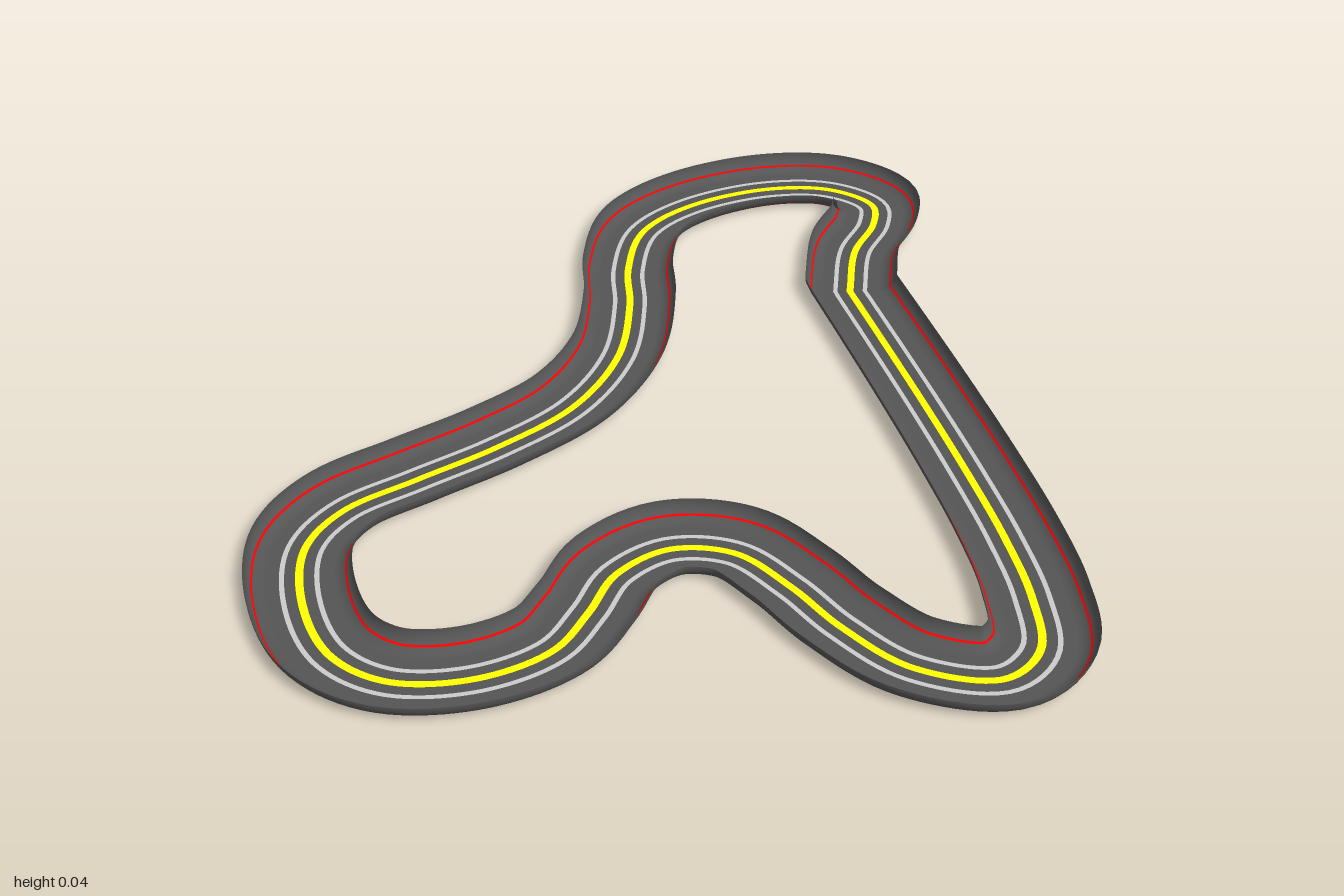
import * as THREE from 'three';

// Centre line of the circuit (x, z); it starts and ends at the kink
const PATH = [
  [0.595, -0.405], [0.598, -0.2], [0.6, 0.05], [0.598, 0.3], [0.59, 0.52], [0.57, 0.7], [0.525, 0.84],
  [0.43, 0.893], [0.28, 0.82], [0.19, 0.68], [0.135, 0.545], [0.06, 0.42], [-0.06, 0.375],
  [-0.18, 0.42], [-0.26, 0.515], [-0.35, 0.6], [-0.505, 0.635], [-0.66, 0.6], [-0.75, 0.505],
  [-0.78, 0.345], [-0.75, 0.18], [-0.66, 0.085], [-0.5, 0.025], [-0.315, -0.04], [-0.13, -0.135],
  [0.01, -0.29], [0.09, -0.485], [0.125, -0.63], [0.205, -0.785], [0.345, -0.868], [0.55, -0.895],
  [0.7, -0.852], [0.777, -0.755], [0.75, -0.67], [0.665, -0.565], [0.595, -0.405],
];
const STEPS = 360;
const FLAT = 0.064, WALL_W = 0.041, WALL_H = 0.04;

// Points along the path with their sideways direction, mitred at the kink
function makeStations() {
  const curve = new THREE.CatmullRomCurve3(PATH.map(([x, z]) => new THREE.Vector3(x, 0, z)));
  const kink = curve.getTangentAt(0).add(curve.getTangentAt(1)).normalize();
  const stations = [];
  for (let i = 0; i <= STEPS; i++) {
    const t = i === 0 || i === STEPS ? kink : curve.getTangentAt(i / STEPS);
    stations.push({ p: curve.getPointAt(i / STEPS), side: new THREE.Vector3(-t.z, 0, t.x) });
  }
  return stations;
}

// Cross-section point [offset, height, sideways normal, upward normal]
const flat = (x) => [x, 0, 0, 1];
const wall = (sign, a) => [
  sign * (FLAT + WALL_W * Math.sin(a)), WALL_H * (1 - Math.cos(a)), -sign * Math.sin(a), Math.cos(a),
];
function wallArc(sign, a0, a1, n) {
  const pts = [];
  for (let i = 0; i <= n; i++) pts.push(wall(sign, a0 + ((a1 - a0) * i) / n));
  return sign > 0 ? pts : pts.reverse();
}

// Sweep a cross-section (ordered by rising offset) along the path
function sweep(stations, profile) {
  const pos = [], nor = [], idx = [], n = profile.length;
  for (const { p, side } of stations) {
    for (const [x, y, nx, ny] of profile) {
      pos.push(p.x + side.x * x, y, p.z + side.z * x);
      nor.push(side.x * nx, ny, side.z * nx);
    }
  }
  for (let i = 0; i < stations.length - 1; i++) {
    for (let j = 0; j < n - 1; j++) {
      const a = i * n + j, b = a + n;
      idx.push(a, a + 1, b, b, a + 1, b + 1);
    }
  }
  const geo = new THREE.BufferGeometry();
  geo.setAttribute('position', new THREE.Float32BufferAttribute(pos, 3));
  geo.setAttribute('normal', new THREE.Float32BufferAttribute(nor, 3));
  // Turn the faces so the road surface looks up
  for (let i = 0; i < idx.length; i += 3) [idx[i + 1], idx[i + 2]] = [idx[i + 2], idx[i + 1]];
  geo.setIndex(idx);
  return geo;
}

export function createModel() {
  const group = new THREE.Group();
  group.name = 'raceTrack';
  const stations = makeStations();
  const paint = (color) => new THREE.MeshStandardMaterial({ color, side: THREE.DoubleSide });
  const asphalt = paint(0x555555), white = paint(0xcccccc), yellow = paint(0xffff00), red = paint(0xff0000);
  const add = (name, profile, material) => {
    const mesh = new THREE.Mesh(sweep(stations, profile), material);
    mesh.name = name;
    group.add(mesh);
  };

  // Yellow centre line
  add('centreLine', [flat(-0.008), flat(0.008)], yellow);

  for (const sign of [-1, 1]) {
    const label = sign > 0 ? 'Outer' : 'Inner';
    const strip = (a, b) => (sign > 0 ? [flat(a), flat(b)] : [flat(-b), flat(-a)]);
    // Road surface with a white lane line
    add('road' + label + 'Middle', strip(0.008, 0.029), asphalt);
    add('laneLine' + label, strip(0.029, 0.039), white);
    add('road' + label + 'Edge', strip(0.039, FLAT), asphalt);
    // Curved wall with a thin red stripe low down
    add('wall' + label + 'Base', wallArc(sign, 0, 0.66, 4), asphalt);
    add('redStripe' + label, wallArc(sign, 0.66, 0.78, 1), red);
    add('wall' + label + 'Top', wallArc(sign, 0.78, Math.PI / 2, 5), asphalt);
  }
  return group;
}
